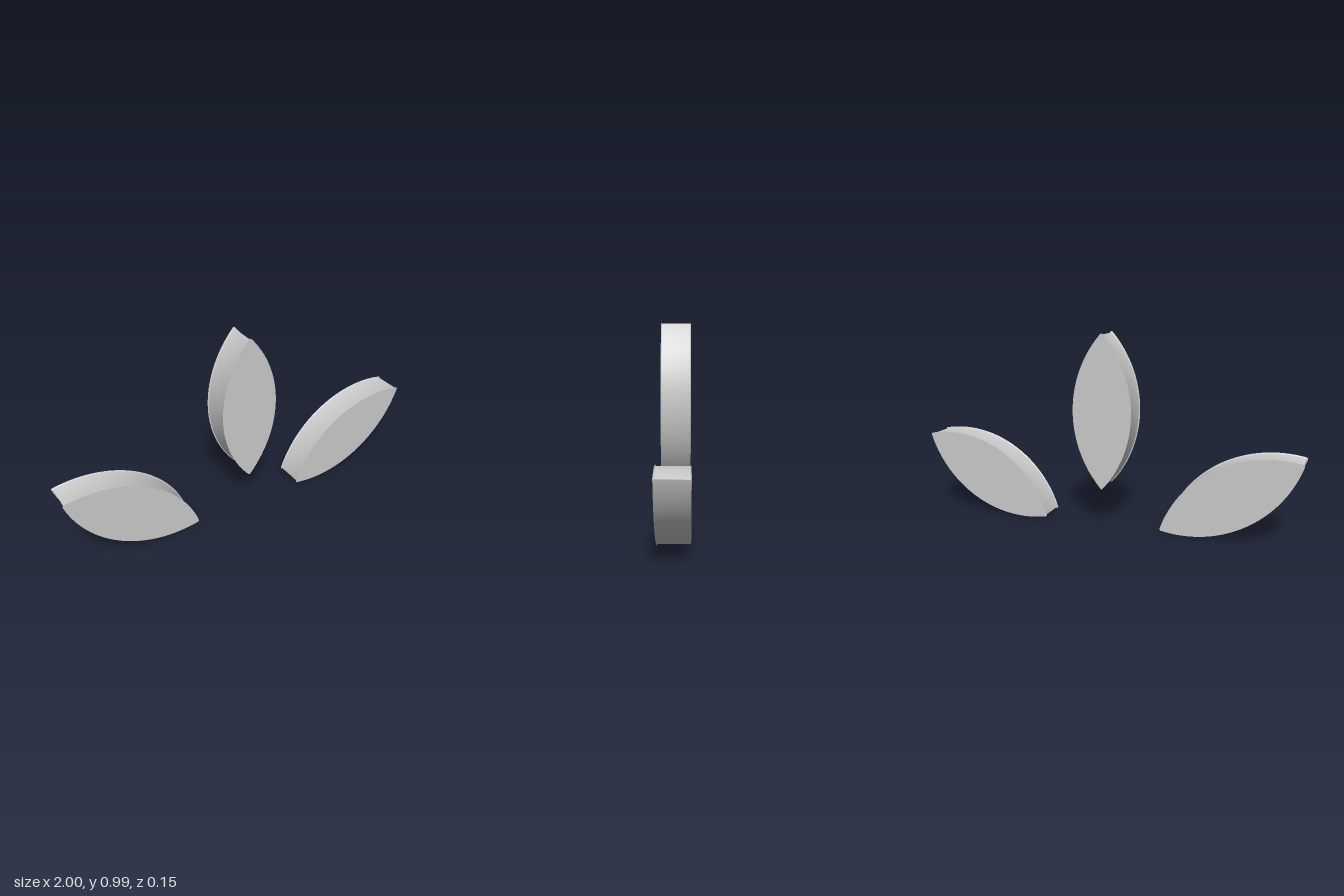
import * as THREE from 'three';
import { toCreasedNormals } from 'three/addons/utils/BufferGeometryUtils.js';

const HALF_LENGTH = 0.401, HALF_WIDTH = 0.156; // sharp lens, before rounding the tips
const THICKNESS = 0.15, LIP = 0.006, TIP = 0.01;
const HUB_Y = -0.163, HUB_RADIUS = 0.757;      // petals fan out around a point below the ground

// Lens outline: two circular arcs joined by slightly rounded tips
function petalGeometry() {
  const R = (HALF_LENGTH ** 2 + HALF_WIDTH ** 2) / (2 * HALF_WIDTH);
  const d = R - HALF_WIDTH;
  const th = Math.asin(HALF_LENGTH / R) - TIP / R;
  const x = R * Math.cos(th) - d, y = R * Math.sin(th);
  const shape = new THREE.Shape();
  shape.moveTo(x, -y);
  shape.absarc(-d, 0, R, -th, th, false);
  shape.quadraticCurveTo(0, HALF_LENGTH, -x, y);
  shape.absarc(d, 0, R, Math.PI - th, Math.PI + th, false);
  shape.quadraticCurveTo(0, -HALF_LENGTH, x, -y);

  // The negative bevel insets the side wall, leaving a fine lip on both faces
  const depth = THICKNESS - 2 * LIP;
  const geometry = new THREE.ExtrudeGeometry(shape, {
    depth, curveSegments: 28,
    bevelEnabled: true, bevelThickness: LIP, bevelSize: -LIP, bevelSegments: 3,
  });
  geometry.translate(0, 0, -depth / 2);
  return toCreasedNormals(geometry, 0.6);
}

export function createModel() {
  const model = new THREE.Group();
  model.name = 'petalFan';
  const material = new THREE.MeshStandardMaterial({ color: 0xcccccc });
  const geometry = petalGeometry();

  // Three petals, 60 degrees apart
  ['leftPetal', 'middlePetal', 'rightPetal'].forEach((name, i) => {
    const angle = (i - 1) * Math.PI / 3;
    const petal = new THREE.Mesh(geometry, material);
    petal.name = name;
    petal.position.set(-HUB_RADIUS * Math.sin(angle), HUB_Y + HUB_RADIUS * Math.cos(angle), 0);
    petal.rotation.z = angle;
    model.add(petal);
  });
  return model;
}
